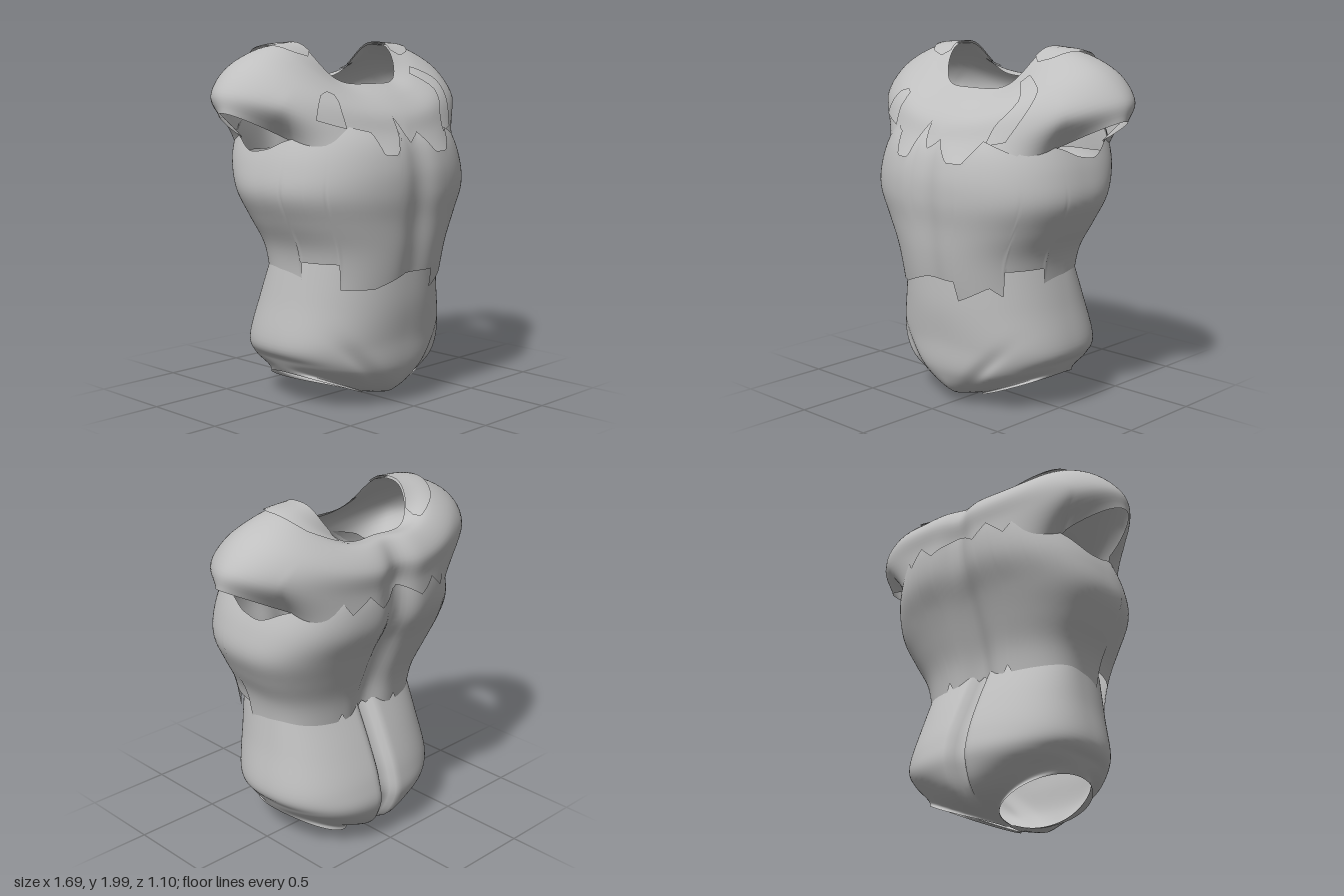
import * as THREE from 'three';
import { mergeVertices } from 'three/addons/utils/BufferGeometryUtils.js';

const { lerp, clamp, radToDeg, degToRad } = THREE.MathUtils;
const bell = (n, width) => Math.exp(-((n / width) ** 2));
const zigzag = (n) => Math.abs((n % 2) - 1);
const spline = (points) => new THREE.CatmullRomCurve3(points, false, 'catmullrom');

// Grid surface from f(angle, v): angle 0 faces front, +90 degrees the left side; v runs downward
function surface(f, nu, nv, from = -Math.PI, to = Math.PI) {
  const pos = [], idx = [];
  for (let j = 0; j <= nv; j++)
    for (let i = 0; i <= nu; i++) pos.push(...f(lerp(from, to, i / nu), j / nv).toArray());
  for (let j = 0; j < nv; j++)
    for (let i = 0; i < nu; i++) {
      const a = j * (nu + 1) + i, b = a + nu + 1;
      idx.push(a, b, a + 1, a + 1, b, b + 1);
    }
  let g = new THREE.BufferGeometry();
  g.setAttribute('position', new THREE.Float32BufferAttribute(pos, 3));
  g.setIndex(idx);
  g = mergeVertices(g, 1e-4);
  g.computeVertexNormals();
  return g;
}

// Linear lookup in a table of [key, ...values]
function lookup(table, k) {
  let i = 1;
  while (i < table.length - 1 && table[i][0] < k) i++;
  const a = table[i - 1], b = table[i];
  const t = clamp((k - a[0]) / (b[0] - a[0]), 0, 1);
  return a.slice(1).map((n, j) => n + (b[j + 1] - n) * t);
}

// Point on a rounded section whose height rises from the front and back towards the sides
function ringPoint([w, yFront, ySide, yBack, zFront, zBack, round, rise], zSide, a) {
  const c = Math.cos(a), s = Math.sin(a);
  const [y, z, p] = c > 0 ? [yFront, zFront, round] : [yBack, zBack, round - 0.1];
  return new THREE.Vector3(
    w * Math.sign(s) * Math.abs(s) ** p,
    lerp(y, ySide, Math.abs(s) ** rise),
    zSide + (z - zSide) * Math.abs(c) ** p);
}

// Sections: half width, heights at front, side, back, depths at front, back, roundness, rise
const yokeRings = [
  [0.33, 1.77, 1.985, 1.79, 0.17, -0.35, 0.75, 4],
  [0.52, 1.7, 1.965, 1.79, 0.29, -0.46, 0.95, 3],
  [0.71, 1.61, 1.875, 1.68, 0.39, -0.545, 1, 2.4],
  [0.835, 1.5, 1.74, 1.55, 0.45, -0.535, 1.1, 2.4],
];
const hipRings = [
  [0.48, 0.85, 0.85, 0.85, 0.46, -0.27, 0.87, 1],
  [0.52, 0.6, 0.6, 0.6, 0.46, -0.39, 0.9, 1],
  [0.56, 0.4, 0.36, 0.4, 0.44, -0.47, 0.9, 1],
  [0.51, 0.2, 0.27, 0.24, 0.42, -0.485, 0.9, 1.5],
  [0.48, 0.06, 0.22, 0.07, 0.31, -0.38, 1, 1.2],
];

// Chest sections every 0.15 from y = 0.6: half width, front depth, back depth
const chestProfile = spline([
  [0.49, 0.46, 0.3], [0.49, 0.495, 0.315], [0.52, 0.52, 0.34], [0.6, 0.535, 0.395],
  [0.668, 0.553, 0.46], [0.65, 0.545, 0.54], [0.595, 0.495, 0.565], [0.52, 0.37, 0.555],
].map((r) => new THREE.Vector3(...r)));

function chestSection(a, y) {
  const r = chestProfile.getPoint((y - 0.6) / 1.05);
  const q = ringPoint([r.x, y, y, y, r.y, -r.z, 0.86, 1], 0, a);
  // sternum and spine grooves
  q.z += bell(q.x, 0.09) * (q.z > 0 ? -0.025 : 0.065);
  return q;
}

// Yoke hem: tucked under the chest, arching out over each arm opening
function yokeHem(a) {
  const d = Math.abs(radToDeg(a)), side = Math.sign(a);
  if (d > 55 && d < 125) {
    const t = (d - 55) / 70, arch = Math.sin(Math.PI * t) ** 0.7;
    return new THREE.Vector3(side * (lerp(0.575, 0.555, t) + 0.28 * arch), 1.49 + 0.14 * arch, lerp(0.11, -0.29, t));
  }
  const chestDeg = d <= 55 ? (d * 78) / 55 : lerp(113, 180, (d - 125) / 55);
  const y = 1.38 + 0.11 * (d <= 55 ? d / 55 : (180 - d) / 55) ** 3;
  const q = chestSection(side * degToRad(chestDeg), y);
  return q.set(q.x * 0.975, y, q.z * 0.975);
}

// Shoulder yoke: from the neck out over the shoulders to the hem
function yokePoint(a, v) {
  const rings = yokeRings.map((r) => ringPoint(r, -0.11, a));
  if (Math.cos(a) < 0) rings.forEach((q, i) => { q.z += (0.02 + 0.015 * i) * bell(q.x, 0.09); });
  return spline([...rings, yokeHem(a)]).getPoint(v);
}

// Hips: the lowest section is a pair of leg openings joined by a narrow crotch strip
function hipPoint(a, v) {
  const front = Math.cos(a) > 0, d = Math.abs(a);
  const x = 0.24 - 0.22 * Math.cos(2 * a);
  const onCentre = d < 0.01 || d > 3.13;
  const hem = new THREE.Vector3(onCentre ? 0 : Math.sign(a) * x,
    0.01 + 0.18 * (x / 0.46) ** (front ? 1 : 1.5), -0.02 + 0.29 * Math.sin(2 * d));
  const q = spline([...hipRings.map((r) => ringPoint(r, -0.03, a)), hem]).getPoint(v);
  const fade = clamp((1 - v) * 4, 0, 1);
  // buttock cleft and groin folds
  if (!front) q.z += 0.08 * bell(q.x, 0.04) * fade;
  else q.z -= 0.02 * bell(Math.abs(q.x) - 0.9 * q.y - 0.03, 0.05) * bell(q.y - 0.25, 0.13) * fade;
  return q;
}

// Torn front edges: angle in degrees, height
const frontTop = [
  [-66, 1.48], [-56, 1.54], [-39, 1.56], [-25, 1.53], [-19, 1.41], [-11, 1.41], [-6, 1.61], [-2, 1.46],
  [3, 1.52], [10, 1.41], [19, 1.41], [30, 1.53], [51, 1.46], [60, 1.55], [66, 1.5],
];
const frontHem = [[-45, 0.69], [-27, 0.69], [-4, 0.76], [15, 0.76], [16.5, 0.65], [40, 0.74], [49, 0.69]];

function topEdge(deg) {
  const d = Math.abs(deg);
  if (d < 66) return lookup(frontTop, deg)[0];
  return 1.5 - 0.08 * bell(d - 96, 13) + (d > 118 ? 0.08 * zigzag(d / 9) - 0.02 : 0);
}

function hemEdge(deg) {
  const d = Math.abs(deg);
  if (d < 51) return lookup(frontHem, deg)[0];
  if (d < 79) return 0.83;
  return d > 154 ? 0.67 + 0.13 * zigzag(d / 9) : 0.7;
}

function chestPoint(a, v) {
  const deg = radToDeg(a);
  return chestSection(a, lerp(topEdge(deg), hemEdge(deg), v));
}

export function createModel() {
  const group = new THREE.Group();
  group.name = 'torsoArmour';
  const grey = new THREE.MeshStandardMaterial({ name: 'plain grey', color: 0xbfbfbf, side: THREE.DoubleSide });
  const add = (name, geometry) => {
    const mesh = new THREE.Mesh(geometry, grey);
    mesh.name = name;
    group.add(mesh);
  };

  add('shoulderYoke', surface(yokePoint, 180, 24));
  add('chest', surface(chestPoint, 240, 24));
  add('hips', surface(hipPoint, 200, 36));

  // Torn plates lying just over the yoke: rows of [v, start angle, end angle] in degrees
  const centre = new THREE.Vector3(0, 1.3, -0.05);
  const plate = (name, rows, side) => add(name, surface((s, t) => {
    const v = lerp(rows[0][0], rows[rows.length - 1][0], t);
    const [start, end] = lookup(rows, v);
    const deg = side > 0 ? lerp(start, end, s) : -lerp(end, start, s);
    return yokePoint(degToRad(deg), v).sub(centre).multiplyScalar(1.018).add(centre);
  }, 20, 12, 0, 1));
  const strap = [[0, 70, 130], [0.08, 64, 140], [0.18, 70, 145], [0.25, 88, 122]];
  plate('leftShoulderStrap', strap, 1);
  plate('rightShoulderStrap', strap, -1);
  plate('leftFrontFlap', [[0.15, 45, 53], [0.4, 40, 50], [0.6, 28, 40], [0.8, 24, 32]], 1);
  plate('rightFrontFlap', [[0.4, 36, 40], [0.48, 33, 42], [0.75, 30, 42]], -1);
  return group;
}
